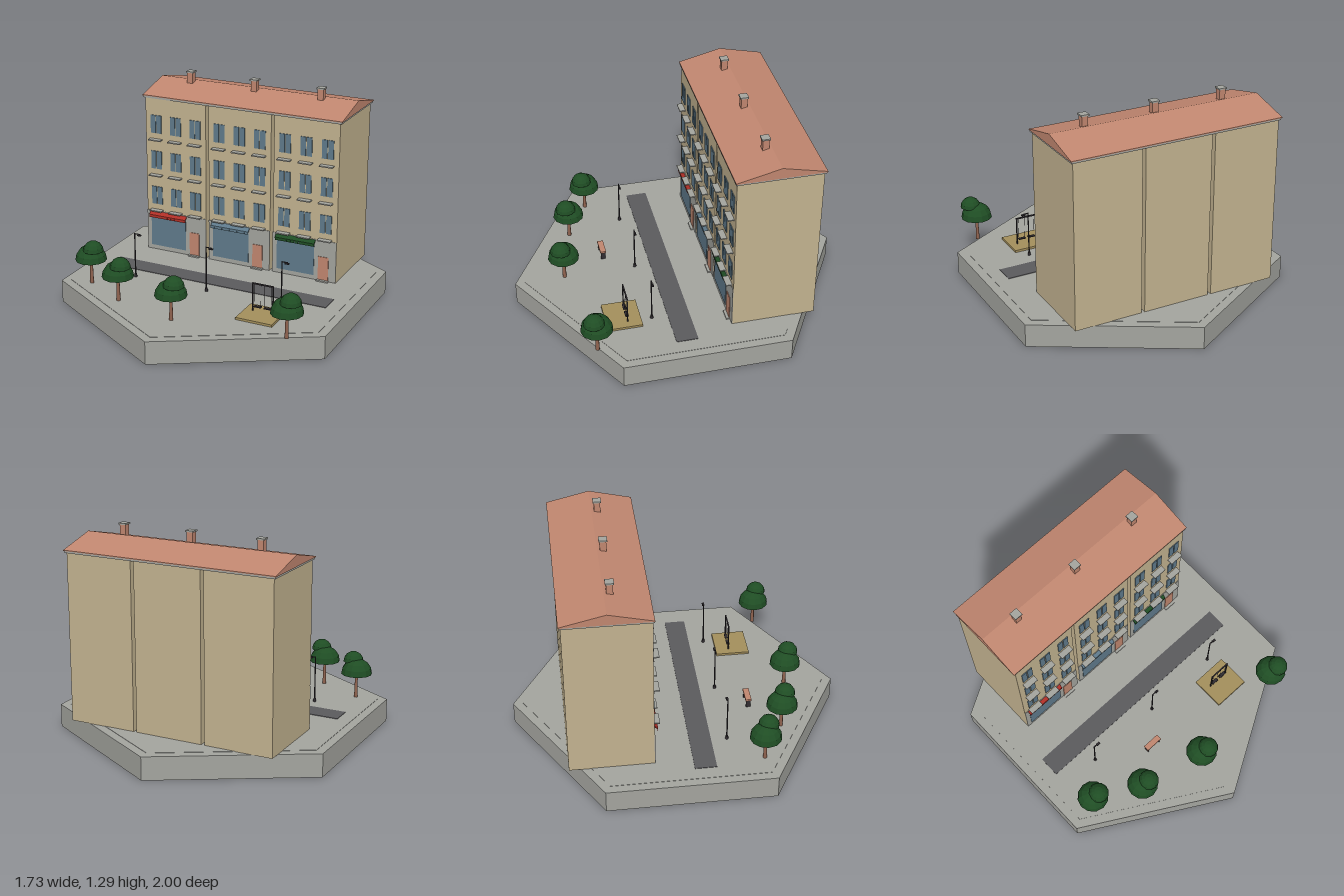
import * as THREE from 'three';

const mat = (name, color) => {
  const m = new THREE.MeshStandardMaterial({ color });
  m.name = name;
  return m;
};
const M = {
  stone: mat('grey stone', 0xa3a49e),
  wall: mat('beige plaster', 0xc2b28f),
  clay: mat('terracotta', 0xc0866f),
  road: mat('asphalt', 0x5b5a5d),
  glass: mat('blue glass', 0x5f7a8b),
  leaf: mat('leaf green', 0x1f4d24),
  red: mat('awning red', 0xb03027),
  iron: mat('dark iron', 0x302c30),
  sand: mat('sand', 0xa38f5c),
  bark: mat('bark', 0x90634f),
};
const GROUND = 0.142, FRONT = -0.195, BACK = -0.695;

function add(parent, name, geo, material, x = 0, y = 0, z = 0) {
  const m = new THREE.Mesh(geo, material);
  m.name = name;
  m.position.set(x, y, z);
  parent.add(m);
  return m;
}
// box given by its extents along each axis
function box(parent, name, material, x0, x1, y0, y1, z0, z1) {
  return add(parent, name, new THREE.BoxGeometry(x1 - x0, y1 - y0, z1 - z0), material,
    (x0 + x1) / 2, (y0 + y1) / 2, (z0 + z1) / 2);
}
function facet(geo) {
  const g = geo.index ? geo.toNonIndexed() : geo;
  g.computeVertexNormals();
  return g;
}
// (z, y) outline swept along x, centred on x = 0
function sweepX(outline, width) {
  const shape = new THREE.Shape(outline.map(([z, y]) => new THREE.Vector2(z, y)));
  const g = new THREE.ExtrudeGeometry(shape, { depth: width, bevelEnabled: false });
  return g.translate(0, 0, -width / 2).rotateY(-Math.PI / 2);
}
function group(parent, name, x = 0, y = 0, z = 0) {
  const g = new THREE.Group();
  g.name = name;
  g.position.set(x, y, z);
  parent.add(g);
  return g;
}

// one town house with shop, door and three floors of windows
function house(parent, x, awningMaterial) {
  const g = group(parent, 'house', x);
  box(g, 'walls', M.wall, -0.21, 0.21, 0.14, 1.15, BACK, FRONT);
  box(g, 'shopFront', M.stone, -0.21, 0.21, 0.14, 0.405, FRONT, FRONT + 0.004);
  box(g, 'shopWindow', M.glass, -0.18, 0.067, 0.17, 0.365, FRONT + 0.004, FRONT + 0.007);
  box(g, 'door', M.clay, 0.095, 0.162, 0.145, 0.3, FRONT + 0.004, FRONT + 0.008);
  box(g, 'doorStep', M.stone, 0.09, 0.167, 0.14, 0.15, FRONT, FRONT + 0.025);

  // sloping awning with a fringe of flaps
  const z = FRONT + 0.004;
  add(g, 'awning', sweepX([[z, 0.392], [z + 0.02, 0.376], [z + 0.02, 0.382], [z, 0.402]], 0.26),
    awningMaterial, -0.057);
  for (let i = 0; i < 10; i++) {
    const fx = -0.187 + i * 0.026;
    box(g, 'awningFlap', awningMaterial, fx + 0.001, fx + 0.025, 0.364, 0.378, z + 0.017, z + 0.02);
  }

  for (const sill of [0.41, 0.647, 0.882]) {
    for (const wx of [-0.137, 0, 0.137]) {
      for (const s of [-1, 1]) {
        add(g, 'windowPane', new THREE.BoxGeometry(0.034, 0.117, 0.005), M.glass,
          wx + s * 0.02, sill + 0.102, FRONT + 0.0025);
      }
      box(g, 'windowLedge', M.stone, wx - 0.042, wx + 0.042, sill, sill + 0.007, FRONT, FRONT + 0.036);
    }
  }
}

// trunk under two faceted half domes
function dome(r) {
  const pts = [new THREE.Vector2(0, 0)];
  for (let i = 0; i <= 4; i++) {
    const a = i * Math.PI / 8;
    pts.push(new THREE.Vector2(i === 4 ? 0 : r * Math.cos(a), r * Math.sin(a)));
  }
  return facet(new THREE.LatheGeometry(pts, 12));
}
function tree(parent, x, z) {
  const g = group(parent, 'tree', x, GROUND, z);
  add(g, 'trunk', new THREE.CylinderGeometry(0.008, 0.012, 0.17, 8), M.bark, 0, 0.085, 0);
  add(g, 'lowerCrown', dome(0.095), M.leaf, 0, 0.153, 0);
  add(g, 'upperCrown', dome(0.062), M.leaf, 0.03, 0.222, 0.02);
}

function streetLamp(parent, x, z) {
  const g = group(parent, 'streetLamp', x, GROUND, z);
  add(g, 'lampBase', new THREE.CylinderGeometry(0.008, 0.01, 0.02, 8), M.iron, 0, 0.01, 0);
  add(g, 'lampPost', new THREE.CylinderGeometry(0.0035, 0.0045, 0.285, 8), M.iron, 0, 0.1425, 0);
  box(g, 'lampArm', M.iron, -0.003, 0.035, 0.281, 0.286, -0.003, 0.003);
  box(g, 'lampHead', M.iron, 0.02, 0.044, 0.274, 0.281, -0.007, 0.007);
}

export function createModel() {
  const model = new THREE.Group();
  model.name = 'townSquare';

  // six-sided plinth with pavement and street
  add(model, 'plinth', facet(new THREE.CylinderGeometry(1, 1, 0.14, 6)), M.stone, 0, 0.07, 0);
  add(model, 'pavement', facet(new THREE.CylinderGeometry(0.94, 0.94, 0.002, 6)), M.stone, 0, 0.141, 0);
  box(model, 'street', M.road, -0.73, 0.73, 0.141, 0.145, 0.03, 0.16);

  // terrace of houses under one roof
  [M.red, M.glass, M.leaf].forEach((m, i) => house(model, (i - 1) * 0.44, m));
  box(model, 'eaves', M.stone, -0.66, 0.66, 1.15, 1.162, -0.703, -0.187);
  add(model, 'roof', sweepX([[-0.708, 1.162], [-0.185, 1.162], [-0.185, 1.167], [-0.445, 1.229],
    [-0.708, 1.167]].reverse(), 1.33), M.clay);
  for (const x of [-0.44, 0, 0.44]) {
    box(model, 'chimney', M.clay, x - 0.019, x + 0.019, 1.19, 1.283, -0.429, -0.391);
    box(model, 'chimneyCap', M.stone, x - 0.025, x + 0.025, 1.283, 1.292, -0.435, -0.385);
  }

  // trees and lamps on the square
  [[-0.68, 0.45], [-0.405, 0.598], [0, 0.695], [0.682, 0.615]].forEach(([x, z]) => tree(model, x, z));
  for (const x of [-0.487, 0, 0.49]) streetLamp(model, x, 0.255);

  // bench
  const bench = group(model, 'bench', -0.163, GROUND, 0.432);
  box(bench, 'benchSeat', M.clay, -0.056, 0.056, 0.05, 0.062, -0.018, 0.018);
  box(bench, 'benchBar', M.iron, -0.045, 0.045, 0.02, 0.025, -0.003, 0.003);
  for (const s of [-1, 1]) {
    add(bench, 'benchLeg', new THREE.BoxGeometry(0.005, 0.05, 0.028), M.iron, s * 0.046, 0.025, 0);
  }

  // sandpit with a swing frame
  box(model, 'sandpit', M.sand, 0.325, 0.553, 0.141, 0.156, 0.32, 0.53);
  const swing = group(model, 'swing', 0.439, 0.156, 0.403);
  box(swing, 'swingBeam', M.iron, -0.068, 0.068, 0.168, 0.176, -0.004, 0.004);
  for (const s of [-1, 1]) {
    add(swing, 'swingPost', new THREE.BoxGeometry(0.007, 0.172, 0.007), M.iron, s * 0.064, 0.086, 0);
    add(swing, 'swingSeat', new THREE.BoxGeometry(0.046, 0.006, 0.02), M.iron, s * 0.032, 0.03, 0);
    for (const t of [-1, 1]) {
      add(swing, 'swingRope', new THREE.BoxGeometry(0.0015, 0.14, 0.0015), M.iron,
        s * 0.032 + t * 0.02, 0.1, 0);
    }
  }
  return model;
}
